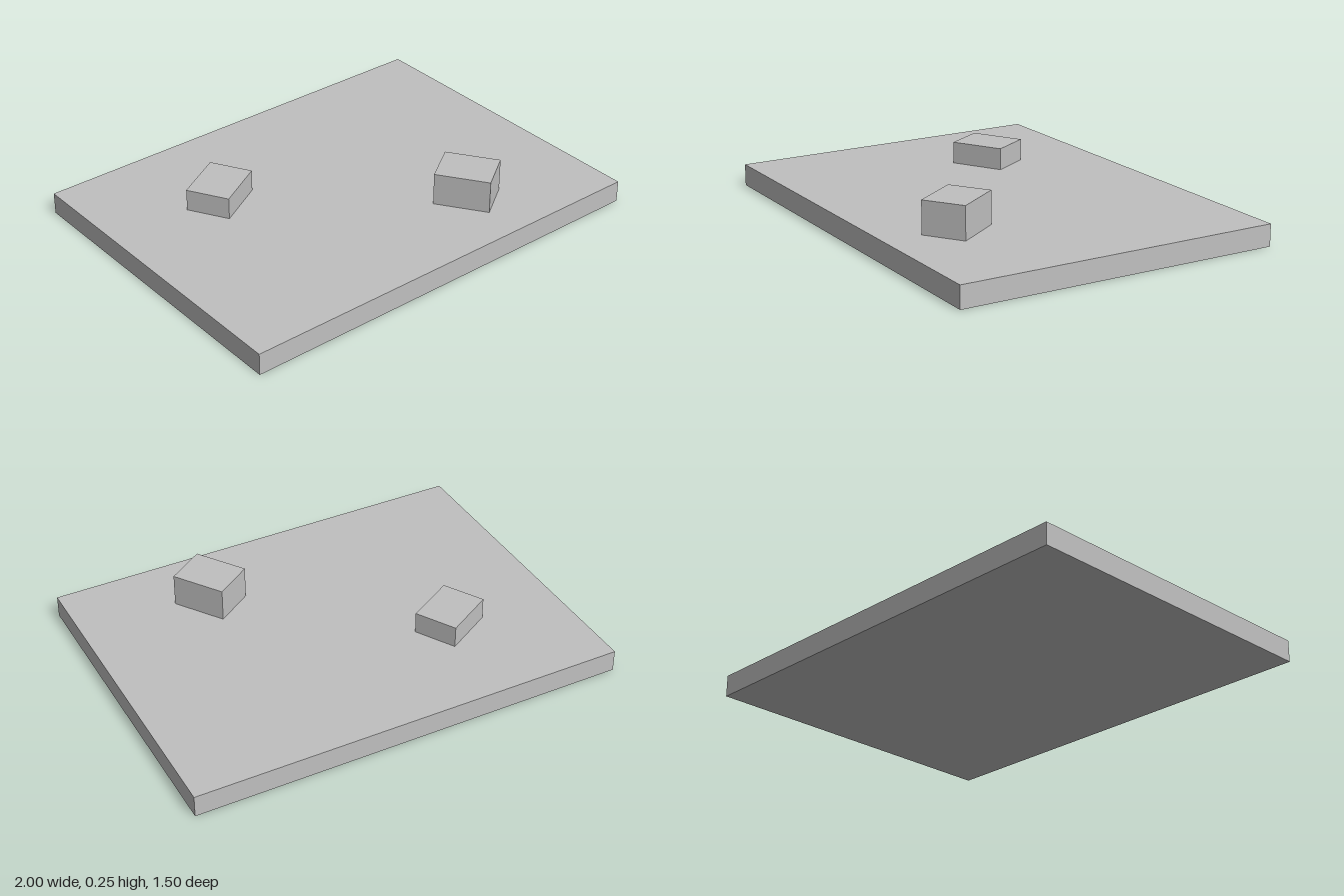
import * as THREE from 'three';

export function createModel() {
  const group = new THREE.Group();
  const lightGrey = new THREE.MeshStandardMaterial({ color: 0xc0c0c0 });
  lightGrey.name = 'lightGrey';

  // Box resting on height y, turned about the vertical axis
  function addBox(name, [w, h, d], [x, y, z], turn = 0) {
    const mesh = new THREE.Mesh(new THREE.BoxGeometry(w, h, d), lightGrey);
    mesh.name = name;
    mesh.position.set(x, y + h / 2, z);
    mesh.rotation.y = turn;
    group.add(mesh);
  }

  // Base plate
  addBox('baseSlab', [2, 0.1, 1.5], [0, 0, 0]);

  // Two turned blocks on the plate
  addBox('lowBlock', [0.25, 0.1, 0.2], [-0.462, 0.1, -0.247], Math.PI / 6);
  addBox('tallBlock', [0.2, 0.15, 0.25], [0.393, 0.1, 0.413], 0.6);

  return group;
}
